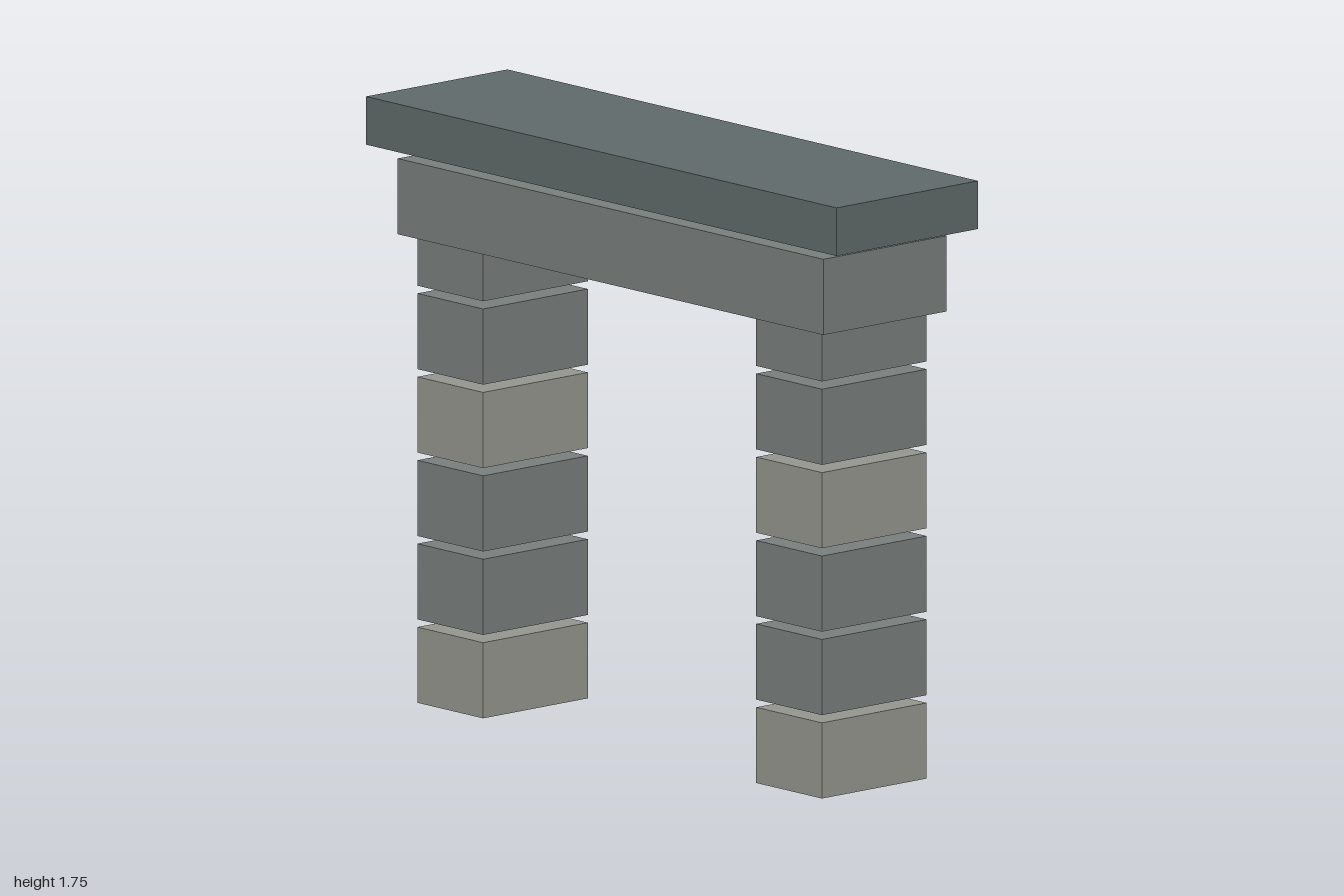
import * as THREE from 'three';

export function createModel() {
  const gate = new THREE.Group();
  gate.name = 'stoneGateway';

  const stone = (color) => new THREE.MeshStandardMaterial({ color });
  const paleStone = stone(0x979891);
  const greyStone = stone(0x7b817f);
  const darkStone = stone(0x616b6b);

  // Adds a block standing on the given height
  function addBlock(parent, name, [w, h, d], x, bottom, material) {
    const mesh = new THREE.Mesh(new THREE.BoxGeometry(w, h, d), material);
    mesh.name = name;
    mesh.position.set(x, bottom + h / 2, 0);
    parent.add(mesh);
  }

  // Two pillars of six spaced blocks, every third one pale;
  // the top block is partly sunk into the lintel
  for (const [name, x] of [['leftPillar', 0.72], ['rightPillar', -0.72]]) {
    const pillar = new THREE.Group();
    pillar.name = name;
    for (let i = 0; i < 6; i++) {
      addBlock(pillar, `pillarBlock${i + 1}`, [0.28, 0.22, 0.4], x, i * 0.2425,
        i % 3 === 0 ? paleStone : greyStone);
    }
    gate.add(pillar);
  }

  // Lintel across the pillars, with a wider capstone floating just above
  addBlock(gate, 'lintel', [1.81, 0.22, 0.47], 0, 1.36, greyStone);
  addBlock(gate, 'capstone', [2, 0.14, 0.54], 0, 1.61, darkStone);

  return gate;
}
